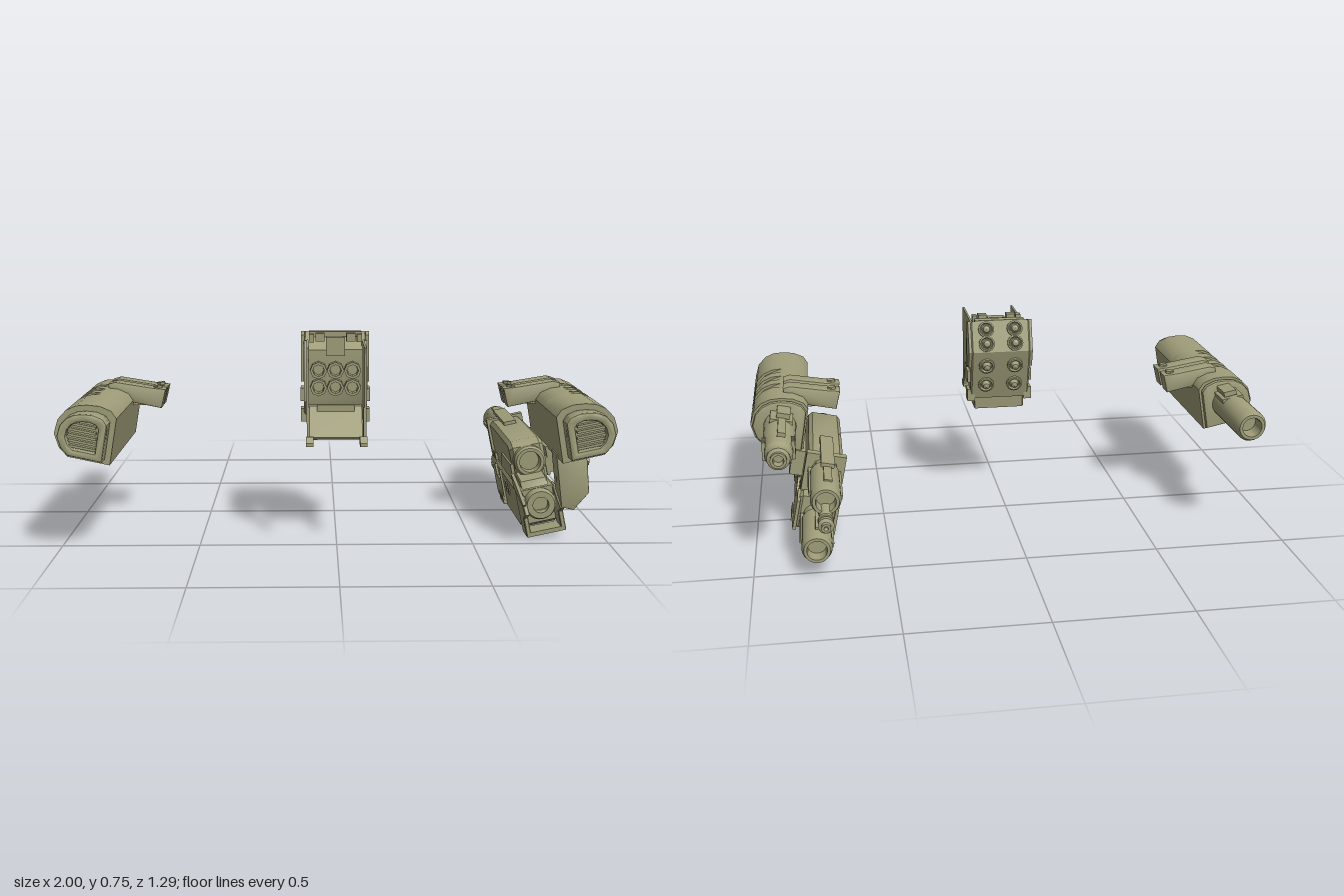
import * as THREE from 'three';
import { toCreasedNormals } from 'three/addons/utils/BufferGeometryUtils.js';

const olive = new THREE.MeshStandardMaterial({ color: 0xa09e7a, side: THREE.DoubleSide });
olive.name = 'olive drab';
const TILT = 0.21;

function add(parent, name, geo, x = 0, y = 0, z = 0) {
  const m = new THREE.Mesh(toCreasedNormals(geo, 0.6), olive);
  m.name = name;
  m.position.set(x, y, z);
  parent.add(m);
  return m;
}
const box = (p, name, w, h, d, x, y, z) => add(p, name, new THREE.BoxGeometry(w, h, d), x, y, z);

const poly = (pts) => new THREE.Shape(pts.map(([a, b]) => new THREE.Vector2(a, b)));

// Outline in x,y pushed along z from z0 to z1
function slab(p, name, shape, z0, z1, bevel = 0) {
  const geo = new THREE.ExtrudeGeometry(shape, {
    depth: z1 - z0 - 2 * bevel, bevelEnabled: bevel > 0, bevelSize: bevel,
    bevelThickness: bevel, bevelOffset: -bevel, bevelSegments: 2,
  });
  return add(p, name, geo, 0, 0, z0 + bevel);
}

// Outline in z,y given width along x
function side(p, name, pts, width, x = 0, y = 0, bevel = 0) {
  const geo = new THREE.ExtrudeGeometry(poly(pts), {
    depth: width - 2 * bevel, bevelEnabled: bevel > 0, bevelSize: bevel,
    bevelThickness: bevel, bevelOffset: -bevel, bevelSegments: 1,
  });
  geo.translate(0, 0, -width / 2 + bevel);
  geo.rotateY(-Math.PI / 2);
  return add(p, name, geo, x, y, 0);
}

// Turned part pointing backward; profile is [radius, distance behind z]
function turned(p, name, profile, x, y, z, sides = 24) {
  const geo = new THREE.LatheGeometry(profile.map(([r, d]) => new THREE.Vector2(r, d)), sides);
  geo.rotateX(-Math.PI / 2);
  return add(p, name, geo, x, y, z);
}
const bolt = (p, r, x, y, z, axis) => {
  const geo = new THREE.CylinderGeometry(r, r, 0.014, 6);
  if (axis === 'x') geo.rotateZ(Math.PI / 2);
  return add(p, 'hexBolt', geo, x, y, z);
};

// Arched pod outline; inset > 0 sinks the outer arc
function podShape(inset = 0, scale = 1) {
  const cx = 0.89, cy = 0.432;
  const arc = [[0.955, 0.35], [0.985, 0.385], [1, 0.435], [0.985, 0.485], [0.955, 0.517], [0.92, 0.532]]
    .map(([x, y]) => [cx + (x - cx) * (1 - inset), cy + (y - cy) * (1 - inset)]);
  const pts = [[0.807, 0.318], ...arc, [0.88, 0.535], [0.835, 0.53], [0.795, 0.512], [0.778, 0.485]];
  return poly(pts.map(([x, y]) => [cx + (x - cx) * scale, cy + (y - cy) * scale]));
}

// Big arched pod, built on the +x side
function pod(name) {
  const g = new THREE.Group();
  g.name = name;
  const cuts = [-0.07, 0.08, 0.125, 0.18, 0.225, 0.28, 0.325, 0.575];
  for (let i = 0; i < 7; i++)
    slab(g, i % 2 ? 'podGroove' : 'podShell', podShape(i % 2 ? 0.09 : 0), cuts[i], cuts[i + 1]);
  slab(g, 'podRearRim', podShape(0, 0.93), -0.095, -0.07, 0.008);
  // Front cap with louvred vent
  const cap = podShape(0, 0.8);
  cap.holes.push(podShape(0, 0.52));
  slab(g, 'frontCap', cap, 0.57, 0.645, 0.008);
  slab(g, 'ventBack', podShape(0, 0.6), 0.57, 0.615);
  for (let i = 0; i < 5; i++) {
    const s = box(g, 'ventSlat', 0.1, 0.009, 0.025, 0.89, 0.392 + i * 0.02, 0.623);
    s.rotation.z = TILT;
  }
  // Mounting bracket with two tabs
  const arm = poly([[0.67, 0.455], [0.79, 0.48], [0.87, 0.52], [0.872, 0.55], [0.845, 0.557], [0.7, 0.533], [0.652, 0.528]]);
  for (const z of [0.04, 0.135]) {
    slab(g, 'bracketTab', arm, z - 0.034, z + 0.034, 0.004);
    bolt(g, 0.018, 0.685, 0.532, z).rotation.z = -0.1;
  }
  box(g, 'bracketWeb', 0.08, 0.05, 0.12, 0.775, 0.49, 0.088);
  // Raised housing at the barrel root
  box(g, 'barrelSaddle', 0.085, 0.07, 0.12, 0.885, 0.455, -0.135).rotation.z = TILT;
  box(g, 'sightBlock', 0.05, 0.02, 0.09, 0.87, 0.502, -0.14).rotation.z = TILT;
  return g;
}

function lowerGuns() {
  const g = new THREE.Group();
  g.name = 'lowerGuns';
  g.position.set(0.77, 0.1, 0);
  g.rotation.z = TILT;
  // Lower receiver
  side(g, 'lowerReceiver', [[0.33, -0.06], [0.27, -0.085], [-0.14, -0.085], [-0.22, -0.05], [-0.22, 0.08],
    [-0.13, 0.085], [0.38, 0.085], [0.38, 0], [0.33, 0]], 0.145, 0, 0, 0.012);
  for (const s of [-1, 1]) {
    side(g, 'frontCheek', [[0.32, 0.005], [0.33, -0.085], [0.42, -0.085], [0.42, -0.01],
      [0.49, 0.02], [s > 0 ? 0.39 : 0.45, 0.08], [0.32, 0.08]], 0.018, s * 0.066, 0, 0.003);
    side(g, 'rearSidePlate', [[-0.03, 0.08], [-0.03, -0.05], [-0.14, -0.07], [-0.23, -0.06], [-0.23, 0.06], [-0.15, 0.08], [-0.14, 0.035], [-0.06, 0.035]],
      0.012, s * 0.075);
    for (let i = 0; i < 4; i++) {
      box(g, 'lowerTooth', 0.014, 0.035, 0.014, s * 0.08, -0.048, -0.04 - i * 0.028);
      box(g, 'upperTooth', 0.014, 0.03, 0.014, s * 0.068, 0.115, -0.13 - i * 0.027);
    }
    for (const z of [0.07, 0.125]) box(g, 'sideWindow', 0.008, 0.045, 0.028, s * 0.073, 0.035, z);
  }
  box(g, 'hookFloor', 0.14, 0.016, 0.09, 0, -0.077, 0.375);
  turned(g, 'lowerFrontRing', [[0.03, 0.02], [0.03, -0.02], [0.052, -0.02], [0.06, 0], [0.06, 0.04]].reverse(), 0, 0.025, 0.39);

  // Upper receiver
  side(g, 'upperReceiver', [[0.305, 0.095], [0.305, 0.235], [0.27, 0.255], [-0.11, 0.255], [-0.21, 0.25],
    [-0.22, 0.13], [-0.12, 0.085]], 0.13, 0, 0, 0.014);
  for (const s of [-1, 1])
    side(g, 'upperSidePlate', [[0.305, 0.105], [0.305, 0.175], [0.08, 0.175], [-0.01, 0.105]], 0.012, s * 0.066);
  side(g, 'rearTaper', [[-0.2, 0.11], [-0.2, 0.235], [-0.32, 0.22], [-0.31, 0.15], [-0.24, 0.11]], 0.08, 0, 0);
  box(g, 'rearCollar', 0.15, 0.15, 0.035, 0, 0.185, -0.215);
  box(g, 'topRail', 0.05, 0.016, 0.3, 0, 0.26, -0.19);
  turned(g, 'upperFrontRing', [[0.06, 0.05], [0.06, -0.02], [0.052, -0.03], [0.04, -0.03], [0.036, 0.02], [0, 0.02]], 0, 0.178, 0.31);
  side(g, 'upperChinGuard', [[0.3, 0.1], [0.42, 0.1], [0.4, 0.125], [0.3, 0.14]], 0.1, -0.01, 0, 0.004);
  side(g, 'frontSpike', [[0.3, 0.085], [0.3, 0.14], [0.39, 0.11], [0.49, 0.06], [0.47, 0.05]], 0.012, -0.07);

  // Two hollow barrels with rails
  const tube = [[0.05, 0], [0.05, 0.06], [0.056, 0.065], [0.056, 0.3], [0.048, 0.325], [0.037, 0.325], [0.035, 0.27], [0, 0.27]];
  for (const [y, name] of [[0, 'lowerBarrel'], [0.19, 'upperBarrel']]) {
    turned(g, name, tube, 0, y + 0.005, -0.21);
    for (const s of [-1, 1]) box(g, 'barrelRail', 0.012, 0.016, 0.24, s * 0.056, y + 0.005, -0.35);
    box(g, 'barrelSpine', 0.03, 0.012, 0.24, 0, y + 0.06, -0.35);
  }
  // Slim barrel between them
  turned(g, 'slimBarrel', [[0.034, 0], [0.034, 0.2], [0.022, 0.35], [0.016, 0.36], [0.016, 0.37], [0.029, 0.372],
    [0.029, 0.39], [0.02, 0.392], [0.02, 0.4], [0.029, 0.402], [0.029, 0.42], [0.017, 0.425], [0.017, 0.445], [0.008, 0.445], [0, 0.42]],
    -0.008, 0.142, -0.2, 16);
  return g;
}

function launcher() {
  const g = new THREE.Group();
  g.name = 'rocketLauncher';
  // Bent housing
  side(g, 'launcherHousing', [[0.17, 0.735], [0.145, 0.75], [0.105, 0.63], [0.165, 0.42], [0.21, 0.415], [0.25, 0.5], [0.25, 0.69]], 0.24, 0, 0, 0.006);
  box(g, 'topLip', 0.2, 0.02, 0.035, 0, 0.742, 0.165);
  side(g, 'lowerTray', [[0.17, 0.48], [0.28, 0.48], [0.39, 0.38], [0.38, 0.37], [0.18, 0.37]], 0.205, 0, 0, 0.004);
  box(g, 'trayPanel', 0.14, 0.045, 0.02, 0, 0.465, 0.29);
  box(g, 'topLatch', 0.07, 0.07, 0.04, 0, 0.705, 0.255);
  // Rockets on the two rear faces
  const rocket = [[0.032, -0.01], [0.032, 0.01], [0.026, 0.012], [0.022, 0.003], [0.018, 0.003], [0.013, 0.02], [0, 0.026]];
  for (const x of [-0.058, 0.058]) {
    for (const [y, z, a] of [[0.718, 0.135, -0.32], [0.662, 0.117, -0.32], [0.57, 0.122, 0.28], [0.485, 0.147, 0.28]])
      turned(g, 'rocket', rocket, x, y, z, 16).rotation.x = -a;
    box(g, 'topHinge', 0.035, 0.03, 0.035, x, 0.738, 0.25);
  }
  // Exhaust ports on the front
  for (const x of [-0.064, 0, 0.064]) for (const y of [0.55, 0.615])
    turned(g, 'exhaustPort', [[0, -0.005], [0.02, -0.005], [0.022, -0.035], [0.032, -0.035], [0.032, 0]].reverse(), x, y, 0.25, 8);
  for (const s of [-1, 1]) {
    // Side panel, strap, leg and foot
    side(g, 'sidePanel', [[0.495, 0.725], [0.17, 0.725], [0.16, 0.55], [0.3, 0.5], [0.495, 0.5]], 0.008, s * 0.104);
    side(g, 'sideStrap', [[0.255, 0.725], [0.225, 0.725], [0.28, 0.61], [0.28, 0.5], [0.31, 0.5], [0.31, 0.615]], 0.012, s * 0.112);
    side(g, 'leg', [[0.495, 0.51], [0.42, 0.51], [0.475, 0.385], [0.5, 0.385]], 0.012, s * 0.102);
    side(g, 'foot', [[0.475, 0.4], [0.475, 0.372], [0.53, 0.372], [0.53, 0.385], [0.505, 0.405]], 0.026, s * 0.097);
    for (const y of [0.435, 0.515]) box(g, 'sideBlock', 0.03, 0.05, 0.06, s * 0.117, y, 0.19);
    box(g, 'topEar', 0.02, 0.03, 0.03, s * 0.09, 0.735, 0.25);
    side(g, 'edgeGuard', [[0.15, 0.75], [0.11, 0.63], [0.13, 0.56], [0.19, 0.56], [0.19, 0.74]], 0.014, s * 0.123);
  }
  return g;
}

export function createModel() {
  const model = new THREE.Group();
  model.name = 'weaponSet';

  // Left pod with stepped barrel
  const left = pod('leftPod');
  turned(left, 'steppedBarrel', [[0.062, 0], [0.06, 0.2], [0.052, 0.23], [0.052, 0.31], [0.042, 0.325], [0.042, 0.355],
    [0.03, 0.36], [0.03, 0.375], [0.02, 0.375], [0.018, 0.34], [0, 0.34]], 0.888, 0.43, -0.09);
  for (let i = 0; i < 4; i++) for (const s of [-1, 1])
    box(left, 'coolingRib', 0.014, 0.07, 0.01, 0.888 + s * 0.053, 0.433, -0.32 - i * 0.015);
  box(left, 'barrelTopRail', 0.03, 0.016, 0.2, 0.876, 0.487, -0.25).rotation.z = TILT;
  model.add(left, lowerGuns());

  // Block tying the lower guns to the left pod
  const link = poly([[0.8, 0.335], [0.89, 0.345], [0.915, 0.31], [0.925, 0.19], [0.87, 0.125], [0.825, 0.135]]);
  slab(model, 'linkBlock', link, 0.39, 0.49, 0.004);
  for (const y of [0.225, 0.3]) bolt(model, 0.018, 0.922, y, 0.44, 'x');
  box(model, 'linkSpine', 0.05, 0.1, 0.4, 0.83, 0.28, 0.1).rotation.z = TILT;

  // Right pod, mirrored, with a plain barrel
  const right = pod('rightPod');
  turned(right, 'plainBarrel', [[0.06, 0], [0.06, 0.285], [0.05, 0.305], [0.038, 0.305], [0.035, 0.24], [0, 0.24]], 0.89, 0.432, -0.09);
  right.traverse((o) => {
    if (!o.isMesh) return;
    // Bake the mirror and restore the corner order
    o.updateMatrix();
    o.geometry.applyMatrix4(o.matrix).scale(-1, 1, 1);
    o.position.set(0, 0, 0);
    o.rotation.set(0, 0, 0);
    for (const a of Object.values(o.geometry.attributes)) {
      const n = a.itemSize, t = a.array;
      for (let i = 0; i < t.length; i += 3 * n)
        for (let k = 0; k < n; k++) [t[i + k], t[i + n + k]] = [t[i + n + k], t[i + k]];
    }
  });
  model.add(right, launcher());
  return model;
}
